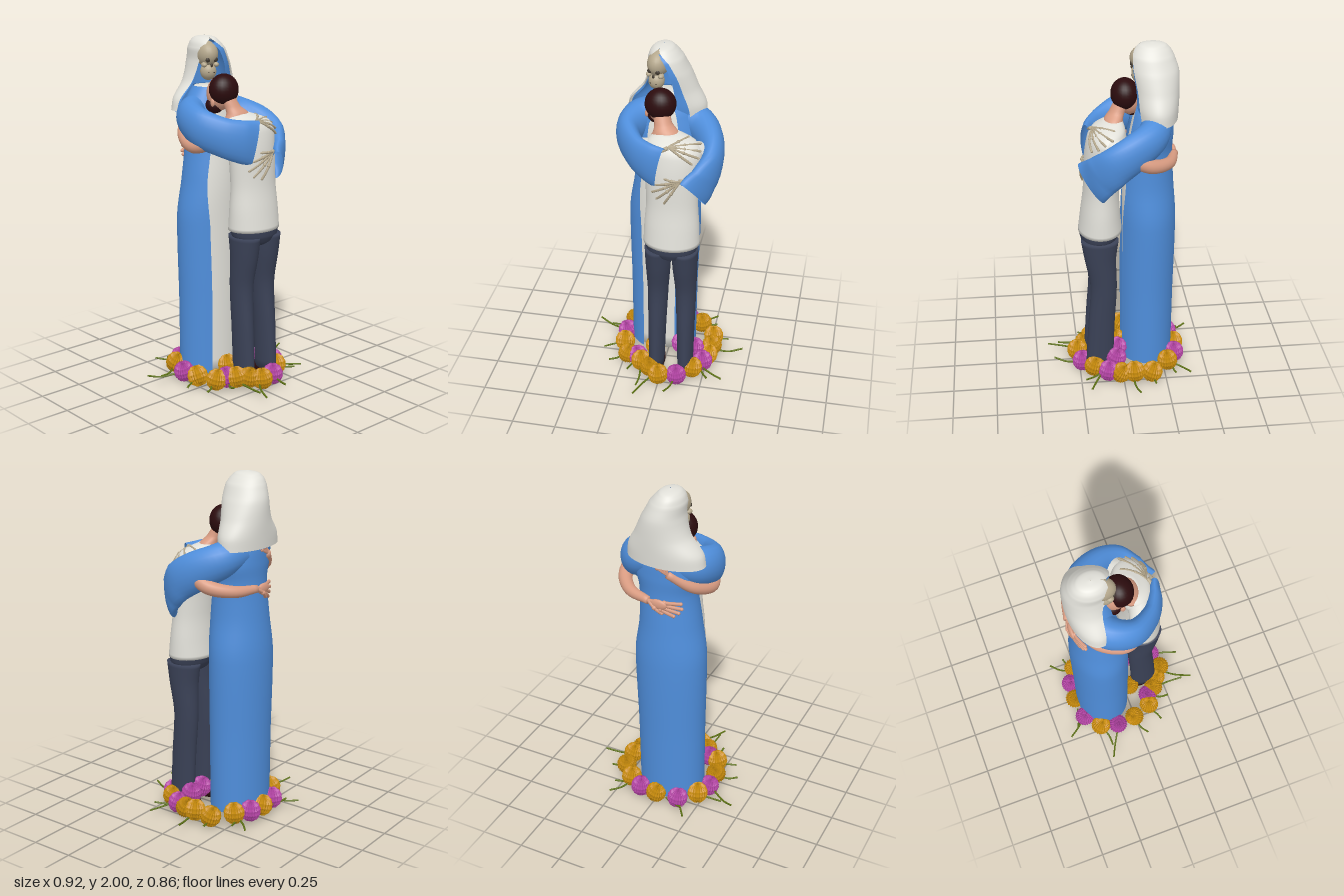
import * as THREE from 'three';
import { mergeVertices } from 'three/addons/utils/BufferGeometryUtils.js';

const paint = (name, color, side = THREE.FrontSide) => {
  const m = new THREE.MeshStandardMaterial({ color, side });
  m.name = name;
  return m;
};
const V = (p) => new THREE.Vector3(p[0], p[1], p[2]);

// Skin through elliptical sections [x, y, z, radiusA, radiusB, halfGap].
// Upright sections stay level; others follow the path. A gap leaves the front open.
function loft(pts, { upright = true, sides = 28, steps = 6, caps = true, turn = 0 } = {}) {
  const path = new THREE.CatmullRomCurve3(pts.map(V));
  const size = new THREE.CatmullRomCurve3(pts.map((p) => new THREE.Vector3(p[3], p[4] ?? p[3], p[5] ?? 0)));
  const n = (pts.length - 1) * steps, pos = [], idx = [], row = sides + 1;
  const ref = upright ? new THREE.Vector3(0, 0, 1) : new THREE.Vector3(0, 1, 0);
  for (let i = 0; i <= n; i++) {
    const c = path.getPoint(i / n), s = size.getPoint(i / n);
    const t = upright ? new THREE.Vector3(0, 1, 0) : path.getTangent(i / n);
    const a = t.clone().cross(ref).normalize(), b = a.clone().cross(t);
    const gap = Math.max(0, s.z);
    for (let j = 0; j <= sides; j++) {
      const th = Math.PI / 2 + turn + gap + (j / sides) * (Math.PI * 2 - gap * 2);
      const p = c.clone().addScaledVector(a, Math.cos(th) * s.x).addScaledVector(b, Math.sin(th) * s.y);
      pos.push(p.x, p.y, p.z);
      if (i < n && j < sides) {
        const k = i * row + j;
        idx.push(k, k + row, k + 1, k + 1, k + row, k + row + 1);
      }
    }
  }
  if (caps) {
    const k = pos.length / 3, first = path.getPoint(0), last = path.getPoint(1);
    pos.push(first.x, first.y, first.z, last.x, last.y, last.z);
    for (let j = 0; j < sides; j++) idx.push(k, j, j + 1, k + 1, n * row + j + 1, n * row + j);
  }
  let g = new THREE.BufferGeometry();
  g.setAttribute('position', new THREE.Float32BufferAttribute(pos, 3));
  g.setIndex(idx);
  g = mergeVertices(g, 1e-5);
  g.computeVertexNormals();
  return g;
}

// Ruffled blossom: a ball with ridges of fine petals
function blossomGeometry() {
  const cols = 44, rows = 14;
  const g = new THREE.SphereGeometry(1, cols, rows), p = g.attributes.position;
  for (let i = 0; i < p.count; i++) {
    const col = i % (cols + 1), r = Math.floor(i / (cols + 1));
    if (r === 0 || r === rows) continue;
    const k = (col % 2 ? 0.93 : 1.03) * (r % 2 ? 0.97 : 1.02);
    p.setXYZ(i, p.getX(i) * k, p.getY(i) * k, p.getZ(i) * k);
  }
  const flat = g.toNonIndexed();
  flat.computeVertexNormals();
  return flat;
}

export function createModel() {
  const root = new THREE.Group();
  const blue = paint('robe blue', 0x4f8edb, THREE.DoubleSide);
  const white = paint('cloth white', 0xe2e1da, THREE.DoubleSide);
  const skin = paint('skin', 0xd99c82);
  const hair = paint('dark brown', 0x2c0c0e);
  const denim = paint('trouser navy', 0x3a4156);
  const bone = paint('bone', 0xb5a88d);
  const gold = paint('marigold', 0xc98c0c);
  const purple = paint('blossom purple', 0xb545a6);
  const green = paint('stem green', 0x5f7416);
  const dark = paint('socket dark', 0x443c32);

  const add = (name, geo, mat, parent = root) => {
    const m = new THREE.Mesh(geo, mat);
    m.name = name;
    parent.add(m);
    return m;
  };
  const ball = (name, c, r, mat, parent = root) => {
    const m = add(name, new THREE.SphereGeometry(1, 24, 16), mat, parent);
    m.position.set(...c);
    m.scale.set(...r);
    return m;
  };
  const limb = (name, pts, mat, caps = true) => add(name, loft(pts, { upright: false, sides: 20, caps }), mat);
  // Fingers fan from the wrist, arching by the lift vector
  const hand = (name, wrist, tips, lift, r, mat) => {
    const g = new THREE.Group();
    g.name = name;
    root.add(g);
    for (const tip of tips) {
      const mid = V(wrist).lerp(V(tip), 0.55).add(V(lift));
      add('finger', new THREE.TubeGeometry(new THREE.QuadraticBezierCurve3(V(wrist), mid, V(tip)), 8, r, 6), mat, g);
      ball('fingertip', tip, [r, r, r], mat, g);
      const k = V(wrist).lerp(V(tip), 0.52).addScaledVector(V(lift), 0.5);
      ball('knuckle', k.toArray(), [r * 1.35, r * 1.35, r * 1.35], mat, g);
    }
  };

  // Robed figure: open blue robe over a white dress
  const robe = [
    [-0.038, 0.05, -0.152, 0.195, 0.16, 0.51], [-0.036, 0.5, -0.152, 0.198, 0.163, 0.51],
    [-0.033, 0.95, -0.155, 0.208, 0.166, 0.55], [-0.03, 1.2, -0.148, 0.178, 0.156, 0.72],
    [-0.02, 1.4, -0.155, 0.165, 0.138, 0.6], [-0.02, 1.52, -0.17, 0.18, 0.128, 0.5],
    [-0.025, 1.62, -0.18, 0.15, 0.115, 0.5], [-0.035, 1.72, -0.18, 0.075, 0.08, 0.5],
  ];
  add('robe', loft(robe, { sides: 40, caps: false, turn: 0.05 }), blue);
  add('underDress', loft(robe.map(([x, y, z, a, b]) => [x, y, z, a * 0.94, b * 0.83]), { sides: 40 }), white);

  // Bell sleeves
  limb('rightSleeve', [[-0.08, 1.59, -0.2, 0.085, 0.09], [-0.18, 1.56, -0.14, 0.085, 0.105],
    [-0.216, 1.52, -0.02, 0.068, 0.11], [-0.15, 1.475, 0.1, 0.052, 0.11],
    [-0.07, 1.45, 0.158, 0.045, 0.12], [0, 1.435, 0.185, 0.033, 0.13]], blue, false);
  limb('leftSleeve', [[0.05, 1.58, -0.2, 0.085, 0.09], [0.165, 1.538, -0.16, 0.085, 0.1],
    [0.24, 1.478, -0.05, 0.073, 0.11], [0.258, 1.415, 0.05, 0.062, 0.11],
    [0.228, 1.35, 0.12, 0.05, 0.115], [0.18, 1.285, 0.175, 0.035, 0.128]], blue, false);

  // Bony forearms and hands
  limb('rightForearmBone', [[-0.08, 1.49, 0.15, 0.012], [0, 1.53, 0.17, 0.01], [0.04, 1.55, 0.16, 0.012]], bone);
  hand('rightBoneHand', [0.04, 1.55, 0.15], [[0.2, 1.54, 0.06], [0.205, 1.515, 0.1],
    [0.2, 1.49, 0.135], [0.17, 1.47, 0.17], [0.13, 1.565, 0.045]], [0, 0.015, 0.03], 0.007, bone);
  limb('leftForearmBone', [[0.21, 1.37, 0.13, 0.012], [0.16, 1.375, 0.18, 0.01], [0.11, 1.375, 0.205, 0.012]], bone);
  hand('leftBoneHand', [0.115, 1.375, 0.205], [[-0.03, 1.33, 0.185], [-0.04, 1.285, 0.185],
    [-0.015, 1.25, 0.195], [0.03, 1.235, 0.212], [0.03, 1.38, 0.2]], [0, 0.005, 0.03], 0.007, bone);

  // Veil with a blue lining, opening toward the face
  const veil = [
    [-0.03, 1.595, -0.2, 0.225, 0.12, 1.05], [-0.025, 1.66, -0.198, 0.215, 0.125, 1],
    [-0.01, 1.75, -0.198, 0.155, 0.127, 0.92], [-0.015, 1.85, -0.19, 0.118, 0.132, 0.85],
    [-0.035, 1.93, -0.18, 0.097, 0.117, 0.7], [-0.045, 1.972, -0.18, 0.07, 0.09, 0.3],
    [-0.045, 1.994, -0.18, 0.036, 0.05, 0], [-0.045, 2, -0.18, 0.002, 0.002, 0],
  ];
  add('veil', loft(veil, { sides: 36, caps: false, turn: 0.35 }), white);
  add('veilLining', loft(veil.slice(0, 6).map(([x, y, z, a, b, g]) => [x, y - 0.006, z, a * 0.93, b * 0.9, g * 0.85]),
    { sides: 36, caps: false, turn: 0.52 }), blue);

  // Skull
  const skull = new THREE.Group();
  skull.name = 'skull';
  skull.position.set(-0.07, 1.877, -0.132);
  skull.rotation.set(0.1, -0.25, 0);
  root.add(skull);
  ball('cranium', [0, 0.025, -0.01], [0.06, 0.072, 0.08], bone, skull);
  ball('jaw', [0, -0.068, 0.024], [0.045, 0.048, 0.045], bone, skull);
  for (const s of [-1, 1]) {
    ball('eyeSocket', [s * 0.023, 0.004, 0.058], [0.014, 0.013, 0.009], dark, skull);
    ball('cheekbone', [s * 0.036, -0.026, 0.04], [0.016, 0.014, 0.02], bone, skull);
  }
  ball('noseHollow', [0, -0.026, 0.062], [0.007, 0.011, 0.007], dark, skull);
  const mouth = add('mouthLine', new THREE.BoxGeometry(0.042, 0.004, 0.008), dark, skull);
  mouth.position.set(0, -0.066, 0.063);

  // Man: shirt, short sleeves, trousers, shoes
  add('shirt', loft([
    [0.055, 0.935, 0.12, 0.16, 0.124], [0.055, 1.05, 0.118, 0.155, 0.112], [0.055, 1.2, 0.112, 0.145, 0.1],
    [0.052, 1.38, 0.102, 0.15, 0.103], [0.052, 1.49, 0.08, 0.162, 0.108], [0.045, 1.545, 0.068, 0.135, 0.092],
    [0.015, 1.585, 0.04, 0.06, 0.05]], { sides: 36 }), white);
  add('hips', loft([[0.055, 0.845, 0.13, 0.03, 0.06], [0.055, 0.865, 0.128, 0.1, 0.09],
    [0.055, 0.9, 0.127, 0.144, 0.108], [0.055, 0.95, 0.122, 0.154, 0.118]]), denim);
  for (const [s, x] of [[-1, -0.022], [1, 0.133]]) {
    add('trouserLeg', loft([[x + s * 0.009, 0.07, 0.135, 0.045, 0.08], [x + s * 0.007, 0.35, 0.122, 0.052, 0.077],
      [x + s * 0.004, 0.6, 0.108, 0.06, 0.076], [x, 0.78, 0.125, 0.071, 0.09],
      [x, 0.9, 0.127, 0.075, 0.107]]), denim);
    ball('shoe', [x + s * 0.008, 0.055, 0.11], [0.043, 0.045, 0.11], hair);
  }

  // Man's arms around the robe
  limb('leftShirtSleeve', [[0.12, 1.5, 0.085, 0.062], [0.18, 1.475, 0.04, 0.06], [0.225, 1.45, -0.01, 0.055]], white);
  limb('rightShirtSleeve', [[-0.03, 1.5, 0.085, 0.062], [-0.12, 1.475, 0.06, 0.06], [-0.18, 1.45, 0.03, 0.052]], white);
  limb('leftArm', [[0.15, 1.5, 0.07, 0.045], [0.24, 1.46, -0.03, 0.043], [0.252, 1.405, -0.14, 0.04],
    [0.165, 1.378, -0.25, 0.033], [0.03, 1.375, -0.3, 0.022]], skin);
  limb('rightArm', [[-0.08, 1.5, 0.07, 0.045], [-0.19, 1.44, 0.02, 0.042], [-0.232, 1.415, -0.06, 0.04],
    [-0.19, 1.46, -0.2, 0.034], [-0.08, 1.555, -0.29, 0.022]], skin);
  hand('leftHand', [0.03, 1.375, -0.3], [[-0.145, 1.375, -0.262], [-0.15, 1.345, -0.262],
    [-0.135, 1.32, -0.27], [-0.11, 1.3, -0.28], [-0.05, 1.315, -0.302]], [0, 0.005, -0.025], 0.01, skin);
  ball('leftPalm', [-0.03, 1.365, -0.302], [0.05, 0.03, 0.015], skin);
  hand('rightHand', [-0.08, 1.555, -0.29], [[0.01, 1.66, -0.28], [0.035, 1.645, -0.28],
    [0.045, 1.625, -0.28], [0.03, 1.605, -0.285], [-0.06, 1.64, -0.28]], [0, 0, -0.008], 0.01, skin);
  ball('rightPalm', [-0.045, 1.595, -0.288], [0.04, 0.03, 0.013], skin);

  // Man's head, seen from behind at the front
  add('neck', loft([[0.008, 1.545, 0.038, 0.09, 0.06], [0.005, 1.585, 0.036, 0.068, 0.052],
    [-0.015, 1.625, 0.012, 0.048, 0.045], [-0.035, 1.7, -0.03, 0.046, 0.046]]), skin);
  ball('face', [-0.045, 1.685, -0.06], [0.068, 0.095, 0.075], skin);
  ball('hair', [-0.037, 1.712, -0.03], [0.087, 0.088, 0.078], hair);
  ball('beard', [-0.064, 1.622, -0.078], [0.056, 0.047, 0.053], hair);
  ball('nose', [-0.06, 1.68, -0.13], [0.012, 0.018, 0.016], skin);
  ball('ear', [-0.115, 1.645, -0.035], [0.009, 0.022, 0.014], skin);

  // Ring of blossoms
  const blossom = blossomGeometry();
  const flower = (x, y, z, mat, spin) => {
    const m = add('blossom', blossom, mat);
    m.position.set(x, y, z);
    m.scale.set(0.058, 0.061, 0.058);
    m.rotation.set(0.3 * Math.sin(spin * 3), spin, 0.3 * Math.cos(spin * 5));
  };
  const goldSpots = [[-0.015, -0.325], [0.18, -0.265], [0.268, -0.165], [0.275, -0.06], [0.19, 0.17], [0, 0.26],
    [-0.12, 0.17], [-0.215, 0.105], [-0.258, -0.01], [-0.24, -0.23], [0.26, 0.02], [-0.06, 0.21]];
  const purpleSpots = [[-0.145, -0.305], [0.09, -0.315], [-0.265, -0.125], [0.105, 0.235], [0.24, 0.09], [-0.15, 0.12]];
  goldSpots.forEach(([x, z], k) => flower(x, 0.077 + 0.008 * Math.sin(k * 2.3), z, gold, k));
  purpleSpots.forEach(([x, z], k) => flower(x, 0.07 + 0.008 * Math.sin(k * 1.7), z, purple, k + 20));
  flower(0.1, 0.14, 0.03, purple, 2);
  flower(0.18, 0.125, 0.04, purple, 4);
  flower(-0.06, 0.1, 0.03, gold, 6);

  // Stems, each [x, z] to [x, z]
  [[-0.15, -0.31, -0.24, -0.43], [-0.08, -0.33, -0.2, -0.37], [0.17, -0.28, 0.26, -0.4], [0.17, -0.3, 0.27, -0.31],
    [-0.3, -0.14, -0.46, -0.225], [-0.27, -0.22, -0.38, -0.2], [0.27, -0.14, 0.36, -0.18], [0.27, -0.05, 0.46, -0.08],
    [-0.27, -0.01, -0.38, 0.04], [-0.24, 0.09, -0.325, 0.15], [-0.16, 0.15, -0.195, 0.245], [-0.12, 0.18, -0.115, 0.37],
    [-0.02, 0.25, -0.12, 0.43], [0.1, 0.23, 0.055, 0.4], [0.23, 0.13, 0.29, 0.23], [0.22, 0.12, 0.37, 0.2],
  ].forEach(([x0, z0, x1, z1], i) => {
    const bend = 0.008 * (i % 2 ? 1 : -1);
    const curve = new THREE.CatmullRomCurve3([V([x0, 0.06, z0]),
      V([(x0 + x1) / 2 + bend, 0.045, (z0 + z1) / 2 + bend]), V([x1, 0.05 + 0.012 * Math.sin(i * 2), z1])]);
    add('stem', new THREE.TubeGeometry(curve, 8, 0.0055, 6), green);
  });
  return root;
}
